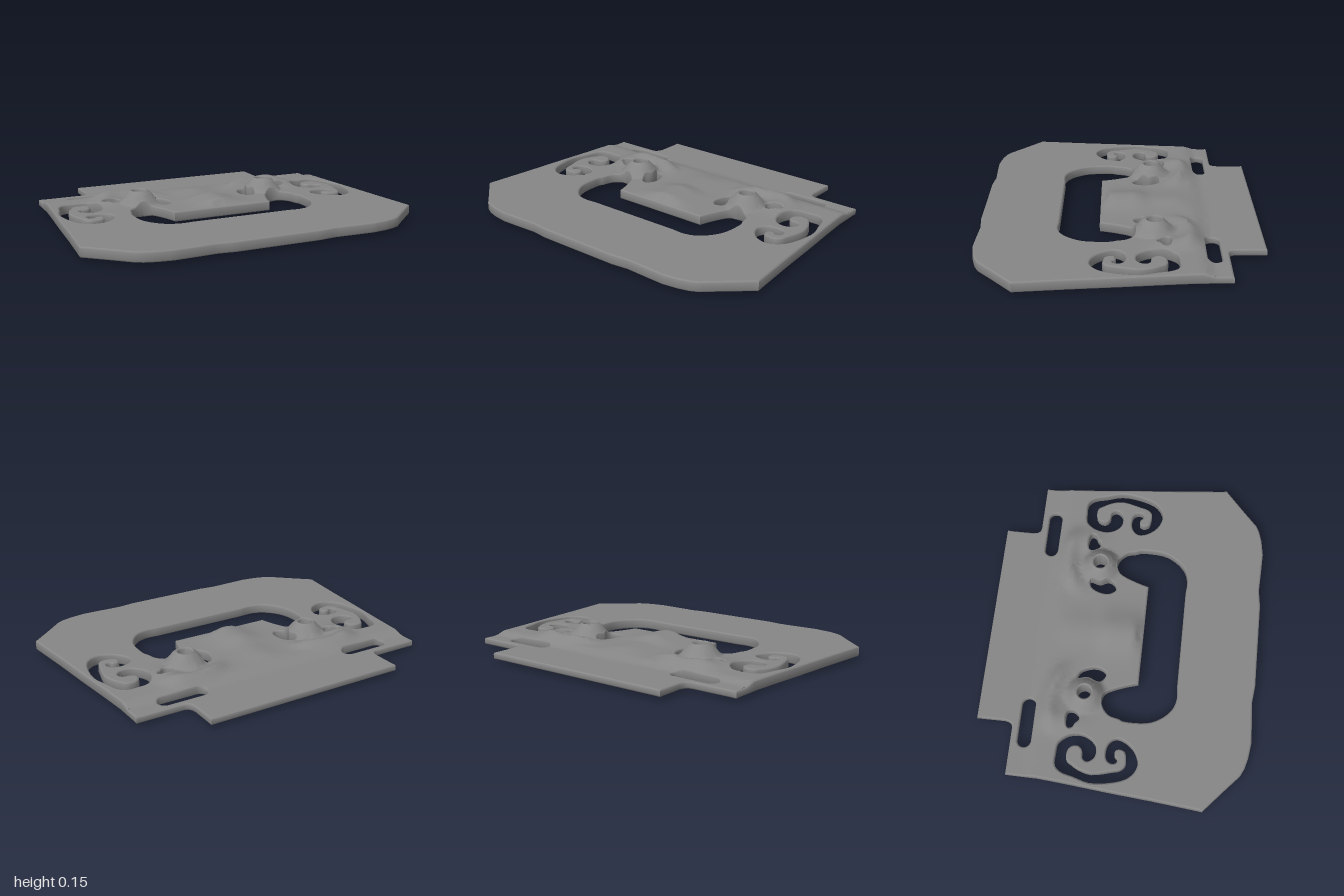
import * as THREE from 'three';
import { toCreasedNormals } from 'three/addons/utils/BufferGeometryUtils.js';

const STEP = 0.03, MAX_EDGE = 0.04, KEY = 1e6, ROUND = 0.009;
const v2 = (list) => list.map(([x, z]) => new THREE.Vector2(x, z));
const mirrored = (list) => list.map(([x, z]) => [-x, z]).reverse();
const smooth = THREE.MathUtils.smoothstep;
const gauss = (d, w) => Math.exp(-(d * d) / (w * w));
const eyeDistance = (x, z) => Math.hypot(Math.abs(x) - 0.408, z + 0.187);

// Closed smooth loop through a few points
const spline = (list) => new THREE.CatmullRomCurve3(list.map(([x, z]) => new THREE.Vector3(x, 0, z)), true)
  .getPoints(list.length * 3).map((p) => [p.x, p.z]);

// Evenly subdivided loop, wound counterclockwise or clockwise
function resample(list, ccw) {
  const out = [];
  list.forEach(([ax, az], i) => {
    const [bx, bz] = list[(i + 1) % list.length];
    const d = Math.hypot(bx - ax, bz - az);
    const n = d < 1e-4 ? 0 : Math.ceil(d / STEP);
    for (let k = 0; k < n; k++) out.push(new THREE.Vector2(ax + (bx - ax) * k / n, az + (bz - az) * k / n));
  });
  return (THREE.ShapeUtils.area(out) > 0) === ccw ? out : out.reverse();
}

// Loop drawn back into the plate, leaving room for a rounded rim
const inset = (loop, amount) => loop.map((p, i) => {
  const d = loop[(i + 1) % loop.length].clone().sub(loop.at(i - 1)).normalize();
  return new THREE.Vector2(p.x - d.y * amount, p.y + d.x * amount);
});

// Relief of the upper face: eye domes, nose, bridge, brows
function topHeight(x, z) {
  const a = Math.abs(x);
  const base = 0.055 + 0.02 * smooth(z, -0.5, -0.42);
  const dome = 0.075 * (1 - smooth(eyeDistance(x, z), 0.045, 0.13));
  const nose = 0.04 * gauss(a, 0.12) * smooth(z, -0.2, -0.07) * (1 - smooth(z, 0.06, 0.095));
  const bridge = 0.016 * gauss(a, 0.1) * smooth(z, -0.43, -0.33) * (1 - smooth(z, -0.2, -0.05));
  const browZ = -0.385 + 1.1 * (a - 0.48) ** 2;
  const brow = 0.036 * gauss(z - browZ, 0.045) * smooth(a, 0.17, 0.34) * (1 - smooth(a, 0.52, 0.68));
  const temple = 0.024 * gauss(a - 0.57, 0.08) * gauss(z + 0.28, 0.1);
  return base + Math.max(dome, nose + bridge, brow + temple);
}

// Underside: flat with a shallow bulge below each eye
const bottomHeight = (x, z) => 0.016 * smooth(eyeDistance(x, z), 0.04, 0.125);

// Outer silhouette
function plateOutline() {
  const half = [[0.598, -0.79], [0.598, -0.63], [0.603, -0.605], [0.615, -0.588], [0.635, -0.582],
    [0.907, -0.582], [0.91, -0.4], [0.923, -0.25], [0.948, 0], [0.97, 0.25], [1, 0.538],
    [0.87, 0.653], [0.78, 0.735], [0.74, 0.755], [0.68, 0.772], [0.59, 0.785], [0.48, 0.781],
    [0.35, 0.775], [0.25, 0.787]];
  return [...half, ...mirrored(half)];
}

// Wide mouth opening with rounded lower corners
function mouthHole() {
  const side = [[0.33, 0.03], [0.37, -0.06], [0.41, -0.088], [0.46, -0.083], [0.51, -0.04],
    [0.527, 0.02], [0.54, 0.06], [0.535, 0.18], [0.5, 0.26], [0.44, 0.32], [0.37, 0.342], [0.3, 0.338]];
  const s = new THREE.Path().moveTo(-0.305, 0.112).lineTo(0.305, 0.112);
  s.splineThru(v2(side)).lineTo(-0.3, 0.338);
  s.splineThru(v2([...mirrored(side).slice(1), [-0.305, 0.112]]));
  return s.getPoints(3).map((p) => [p.x, p.y]);
}

// Openings that repeat on both sides
function sideHoles() {
  const slot = new THREE.Path().absarc(0.703, -0.502, 0.04, -Math.PI / 2, Math.PI / 2);
  slot.absarc(0.495, -0.502, 0.04, Math.PI / 2, Math.PI * 1.5);
  const pupil = new THREE.Path().absarc(0.408, -0.19, 0.04, 0, Math.PI * 2);
  const innerEye = [[0.315, -0.24], [0.27, -0.232], [0.24, -0.18], [0.236, -0.12], [0.265, -0.08],
    [0.305, -0.095], [0.323, -0.135], [0.303, -0.18]];
  const outerEye = [[0.61, -0.265], [0.565, -0.28], [0.515, -0.273], [0.508, -0.245],
    [0.53, -0.21], [0.555, -0.204], [0.58, -0.225], [0.606, -0.24]];
  // C-shaped ear opening with two curled ends
  const ear = [[0.785, -0.115], [0.757, -0.09], [0.703, -0.09], [0.666, -0.118], [0.64, -0.176],
    [0.65, -0.25], [0.698, -0.305], [0.76, -0.313], [0.825, -0.311], [0.862, -0.278], [0.885, -0.198],
    [0.91, -0.107], [0.9, 0], [0.868, 0.096], [0.826, 0.139], [0.773, 0.155], [0.703, 0.128], [0.655, 0.07],
    [0.644, 0.016], [0.676, -0.021], [0.73, -0.032], [0.773, -0.021], [0.789, 0.005], [0.783, 0.032],
    [0.762, 0.037], [0.746, 0.021], [0.714, 0.021], [0.703, 0.043], [0.714, 0.075], [0.746, 0.086],
    [0.794, 0.086], [0.82, 0.059], [0.832, 0.016], [0.858, -0.1], [0.84, -0.176], [0.815, -0.22],
    [0.794, -0.248], [0.735, -0.248], [0.708, -0.22], [0.708, -0.187], [0.73, -0.166], [0.773, -0.16],
    [0.79, -0.14]];
  const paths = [slot, pupil].map((p) => p.getPoints(12).map((q) => [q.x, q.y]));
  return [...paths, ...[innerEye, outerEye, ear].map(spline)];
}

// Flip shared edges until the triangles are well shaped
function relax(points, faces) {
  const angle = (c, a, b) => {
    const u = points[a].clone().sub(points[c]), v = points[b].clone().sub(points[c]);
    return Math.atan2(Math.abs(u.cross(v)), u.dot(v));
  };
  for (let pass = 0; pass < 60; pass++) {
    const owner = new Map(), used = new Set();
    faces.forEach((f, i) => f.forEach((a, k) => owner.set(a * KEY + f[(k + 1) % 3], [i, f[(k + 2) % 3]])));
    faces.forEach((f, i) => {
      for (let k = 0; k < 3 && !used.has(i); k++) {
        const a = f[k], b = f[(k + 1) % 3], c = f[(k + 2) % 3];
        const [j, d] = owner.get(b * KEY + a) ?? [i, c];
        if (j === i || used.has(j) || angle(c, a, b) + angle(d, a, b) < Math.PI + 1e-5) continue;
        faces[i] = [a, d, c];
        faces[j] = [d, b, c];
        used.add(i).add(j);
      }
    });
    if (used.size === 0) break;
  }
}

// Halve long edges, relaxing in between, until the mesh is fine enough for the relief
function refine(points, faces) {
  for (let pass = 0; pass < 8; pass++) {
    relax(points, faces);
    const mids = new Map();
    const mid = (a, b) => {
      if (points[a].distanceTo(points[b]) <= MAX_EDGE) return -1;
      const key = Math.min(a, b) * KEY + Math.max(a, b);
      if (!mids.has(key)) mids.set(key, points.push(points[a].clone().lerp(points[b], 0.5)) - 1);
      return mids.get(key);
    };
    faces = faces.flatMap((f) => {
      let [a, b, c] = f, ab = mid(a, b), bc = mid(b, c), ca = mid(c, a);
      const count = (ab >= 0) + (bc >= 0) + (ca >= 0);
      if (count === 0) return [f];
      if (count === 3) return [[a, ab, ca], [ab, b, bc], [ca, bc, c], [ab, bc, ca]];
      // turn so that ab is split and, with two splits, ca is not
      while (ab < 0 || (count === 2 && ca >= 0)) [a, b, c, ab, bc, ca] = [b, c, a, bc, ca, ab];
      return count === 1 ? [[a, ab, c], [ab, b, c]] : [[ab, b, bc], [a, ab, bc], [a, bc, c]];
    });
    if (mids.size === 0) break;
  }
  return faces;
}

function meshGeometry(positions, index) {
  const g = new THREE.BufferGeometry();
  g.setAttribute('position', new THREE.Float32BufferAttribute(positions, 3));
  g.setIndex(index);
  g.computeVertexNormals();
  return g;
}

// One face of the plate, lifted by a height rule
const faceGeometry = (points, faces, height, up) => meshGeometry(
  points.flatMap(({ x, y: z }) => [x, height(x, z), z]),
  faces.flatMap(([a, b, c]) => (up ? [a, c, b] : [a, b, c])));

// Wall with rounded rims joining both faces along a rim loop
function wallGeometry(rim) {
  const profile = [[0, 0, 0], [0.7, 0, 0.3], [1, 0, 1], [1, 1, -1], [0.7, 1, -0.3], [0, 1, 0]];
  const pos = [], idx = [], n = rim.length;
  profile.forEach(([out, top, rise], r) => inset(rim, -out * ROUND).forEach((p, i) => {
    const y = (top ? topHeight : bottomHeight)(rim[i].x, rim[i].y) + rise * ROUND;
    pos.push(p.x, y, p.y);
    const a = r * n + i, b = r * n + (i + 1) % n;
    if (r < 5) idx.push(a, a + n, b + n, a, b + n, b);
  }));
  return toCreasedNormals(meshGeometry(pos, idx), 0.85);
}

export function createModel() {
  const group = new THREE.Group();
  group.name = 'facePlate';
  const material = new THREE.MeshStandardMaterial({ color: 0x868686 });
  const add = (name, geometry) => {
    const mesh = new THREE.Mesh(geometry, material);
    mesh.name = name;
    group.add(mesh);
  };
  const outline = inset(resample(plateOutline(), true), ROUND);
  const sides = sideHoles();
  const holes = [mouthHole(), ...sides, ...sides.map(mirrored)].map((h) => inset(resample(h, false), ROUND));
  const points = [outline, ...holes].flat();
  const faces = refine(points, THREE.ShapeUtils.triangulateShape(outline, holes)
    .map((f) => (THREE.ShapeUtils.area(f.map((i) => points[i])) < 0 ? f.reverse() : f)));

  add('reliefFace', faceGeometry(points, faces, topHeight, true));
  add('underside', faceGeometry(points, faces, bottomHeight, false));
  add('outerEdge', wallGeometry(outline));
  const names = ['slot', 'pupil', 'innerEye', 'outerEye', 'ear'];
  holes.forEach((h, i) => add(i ? `${names[(i - 1) % 5]}Edge${i <= 5 ? 'Left' : 'Right'}` : 'mouthEdge', wallGeometry(h)));
  return group;
}
